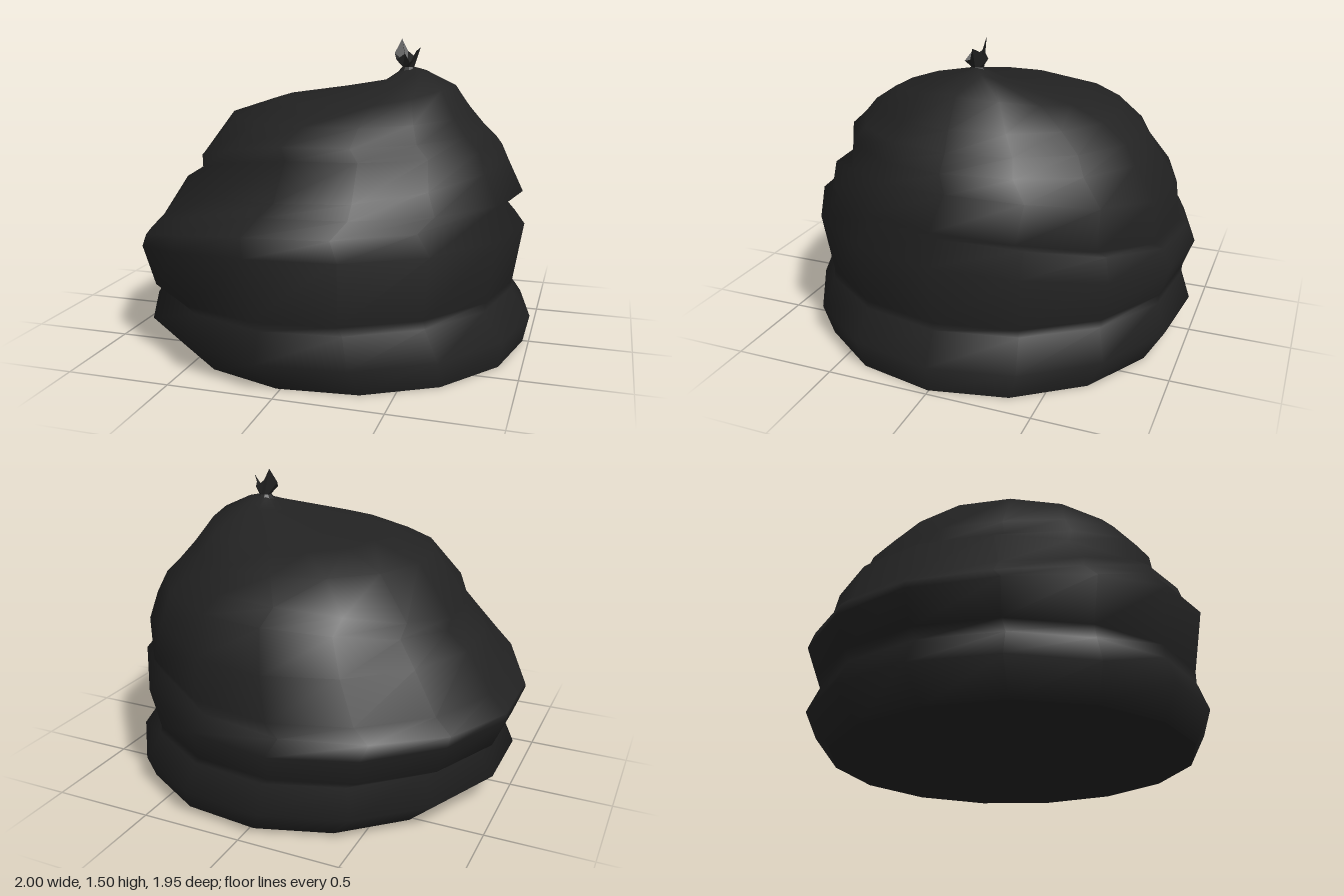
import * as THREE from 'three';

const SIDES = 15;

// Joins stacked rings of points into an indexed surface with smooth normals
function loft(rings, capTop) {
  const n = rings[0].length;
  const points = rings.flat();
  const index = [];
  for (let i = 0; i < rings.length - 1; i++) {
    for (let j = 0; j < n; j++) {
      const k = (j + 1) % n;
      const a = i * n + j, b = i * n + k, c = a + n, d = b + n;
      index.push(a, c, b, b, c, d);
    }
  }
  if (capTop) {
    const last = (rings.length - 1) * n;
    points.push(capTop);
    for (let j = 0; j < n; j++) index.push(last + j, points.length - 1, last + (j + 1) % n);
  }
  const geometry = new THREE.BufferGeometry().setFromPoints(points);
  geometry.setIndex(index);
  geometry.computeVertexNormals();
  return geometry;
}

// Each fold: extent and height on the left (+x), right (-x), front and back
const FOLDS = [
  [0.97, 0, -0.80, 0, 0.90, 0, -0.89, 0],
  [1.00, 0.135, -0.955, 0.14, 0.98, 0.135, -0.98, 0.135],
  [0.90, 0.27, -0.87, 0.27, 0.93, 0.27, -0.93, 0.27],
  [0.905, 0.31, -0.94, 0.30, 0.93, 0.31, -0.93, 0.30],
  [0.955, 0.61, -1.00, 0.45, 0.98, 0.61, -0.98, 0.435],
  [0.87, 0.71, -1.00, 0.48, 0.90, 0.68, -0.93, 0.51],
  [0.94, 0.77, -0.92, 0.56, 0.88, 0.77, -0.90, 0.56],
  [0.86, 0.92, -0.80, 0.77, 0.78, 0.81, -0.88, 0.77],
  [0.83, 1.00, -0.69, 0.83, 0.75, 1.00, -0.78, 0.95],
  [0.76, 1.07, -0.70, 0.89, 0.70, 1.05, -0.72, 1.03],
  [0.69, 1.15, -0.52, 1.13, 0.62, 1.13, -0.61, 1.13],
  [0.60, 1.28, -0.28, 1.21, 0.47, 1.21, -0.46, 1.20],
  [0.45, 1.35, 0.24, 1.29, 0.13, 1.32, -0.13, 1.31],
  [0.41, 1.36, 0.31, 1.34, 0.04, 1.35, -0.05, 1.35],
];

function foldRing([l, yl, r, yr, f, yf, b, yb]) {
  const rx = (l - r) / (1 + Math.cos(Math.PI / SIDES));
  const rz = (f - b) / 2, cx = l - rx, cz = (f + b) / 2;
  return Array.from({ length: SIDES }, (_, j) => {
    const a = (j / SIDES) * Math.PI * 2;
    const c = Math.cos(a), s = Math.sin(a);
    const y = c * c * (c > 0 ? yl : yr) + s * s * (s > 0 ? yf : yb);
    return new THREE.Vector3(cx + rx * c, y, cz + rz * s);
  });
}

export function createModel() {
  const group = new THREE.Group();
  const black = new THREE.MeshStandardMaterial({ color: 0x222222, side: THREE.DoubleSide });
  black.name = 'black plastic';
  const add = (name, geometry) => {
    const mesh = new THREE.Mesh(geometry, black);
    mesh.name = name;
    group.add(mesh);
  };

  // Slumped sack with tilted folds
  const rings = FOLDS.map(foldRing);
  add('sack', loft(rings, new THREE.Vector3(0.36, 1.37, 0)));

  // Flat underside
  const outline = new THREE.Shape(rings[0].map((p) => new THREE.Vector2(p.x, p.z)));
  add('base', new THREE.ShapeGeometry(outline).rotateX(Math.PI / 2));

  // Gathered tuft with a ragged rim: [radius, height] around the circle
  const rim = [[0.06, 1.46], [0.04, 1.40], [0.06, 1.39], [0.035, 1.43], [0.065, 1.40],
    [0.07, 1.43], [0.05, 1.50], [0.03, 1.44], [0.065, 1.41], [0.04, 1.44]];
  const tuftRing = (fn) => rim.map((v, j) => {
    const a = (j / rim.length) * Math.PI * 2;
    const [r, y] = fn(v);
    return new THREE.Vector3(0.36 + r * Math.cos(a), y, r * Math.sin(a));
  });
  const tuft = loft([
    tuftRing(() => [0.05, 1.34]),
    tuftRing(() => [0.03, 1.365]),
    tuftRing((v) => v),
    tuftRing(() => [0.012, 1.38]),
  ]).toNonIndexed();
  tuft.computeVertexNormals();
  add('tiedTuft', tuft);

  return group;
}
